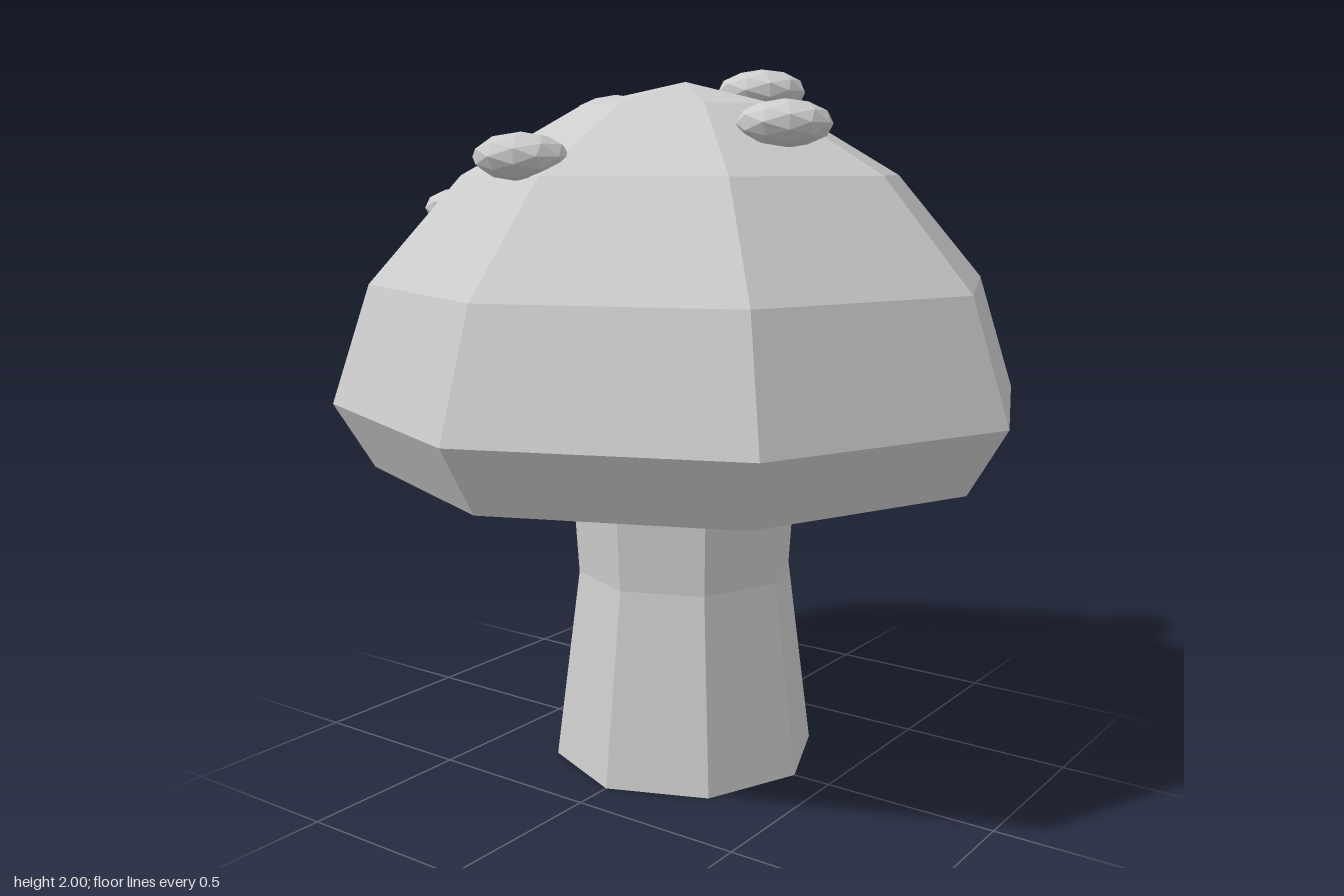
import * as THREE from 'three';

const grey = new THREE.MeshStandardMaterial({ color: 0xcccccc });
grey.name = 'pale grey';

// Gives a geometry hard, faceted normals
function faceted(geometry) {
  const flat = geometry.index ? geometry.toNonIndexed() : geometry;
  flat.computeVertexNormals();
  return flat;
}

// Eight-sided turned solid from [radius, height] pairs, bottom to top
function turned(name, profile) {
  const points = profile.map(([r, y]) => new THREE.Vector2(r, y));
  const mesh = new THREE.Mesh(faceted(new THREE.LatheGeometry(points, 8)), grey);
  mesh.name = name;
  return mesh;
}

export function createModel() {
  const mushroom = new THREE.Group();
  mushroom.name = 'mushroom';

  // Waisted stem with a flat foot
  mushroom.add(turned('stem', [[0, 0], [0.387, 0], [0.315, 0.56], [0.337, 0.9]]));

  // Domed cap with a flat underside
  mushroom.add(turned('cap', [
    [0, 0.893], [0.89, 0.893], [1, 1.077], [0.89, 1.41],
    [0.63, 1.707], [0.295, 1.898], [0, 1.965],
  ]));

  // Flattened spots: x, y, z, turn about y
  const spots = [
    [-0.1, 1.755, 0.58, 0],
    [0.42, 1.84, 0.15, 0.1],
    [0.143, 1.94, -0.175, 0.2],
    [-0.35, 1.882, -0.13, 0.3],
    [-0.737, 1.608, 0.125, 0.4],
    [0.122, 1.655, -0.7, 0.5],
  ];
  const spotShape = faceted(new THREE.IcosahedronGeometry(0.126, 1).scale(1, 0.5, 1));
  spots.forEach(([x, y, z, turn], i) => {
    const spot = new THREE.Mesh(spotShape, grey);
    spot.name = `spot${i + 1}`;
    spot.position.set(x, y, z);
    spot.rotation.y = turn;
    mushroom.add(spot);
  });

  return mushroom;
}
